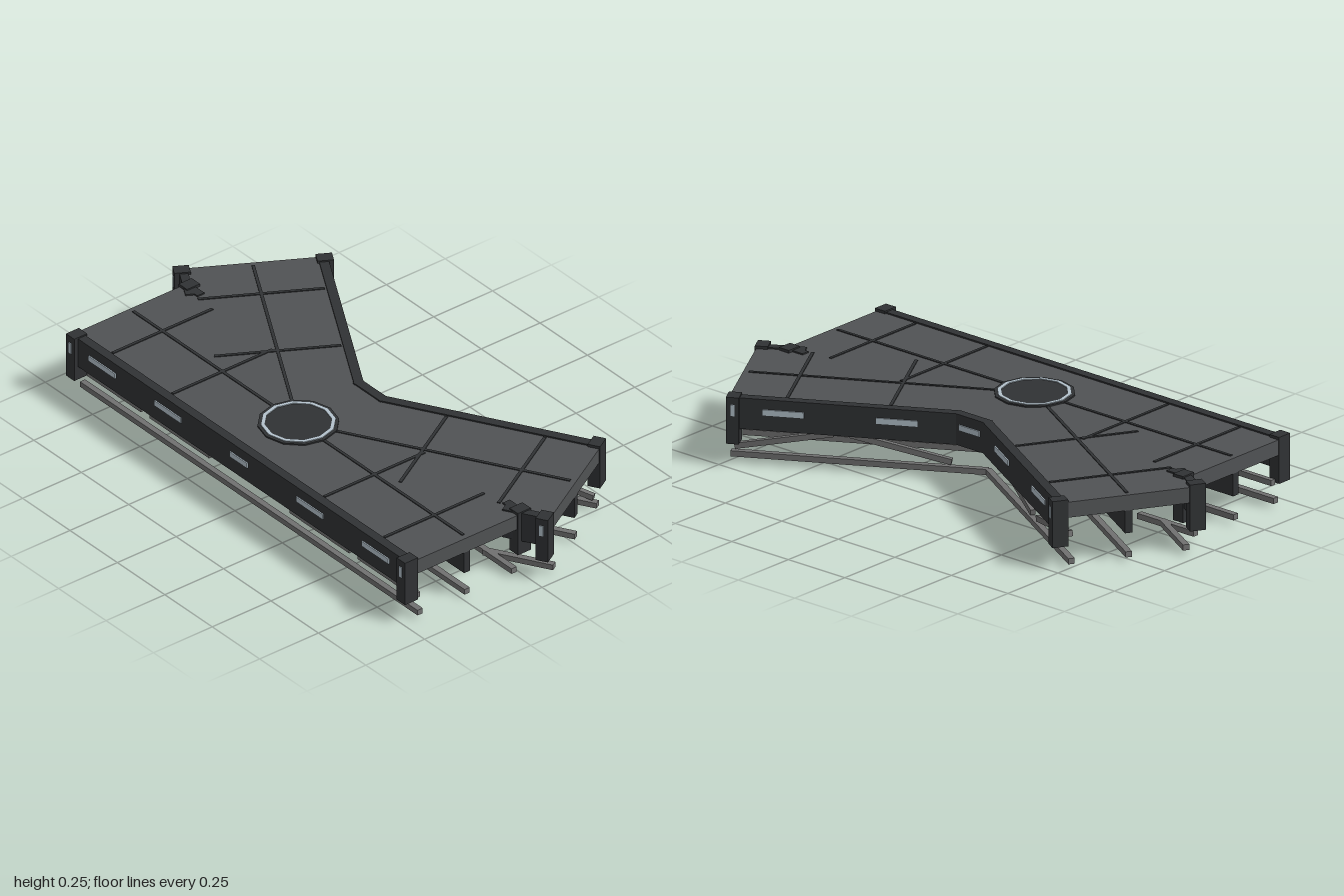
import * as THREE from 'three';

const mat = (color) => new THREE.MeshStandardMaterial({ color, flatShading: true });
const deckMat = mat(0x505254);
const darkMat = mat(0x303234);
const steelMat = mat(0x707070);
const lightMat = mat(0xb4c2cc);

const HUB_X = -0.23;
const SLANT = Math.PI / 6;

function add(parent, name, geometry, material, x, y, z) {
  const mesh = new THREE.Mesh(geometry, material);
  mesh.name = name;
  mesh.position.set(x, y, z);
  parent.add(mesh);
  return mesh;
}

const box = (parent, name, material, w, h, d, x, y, z) =>
  add(parent, name, new THREE.BoxGeometry(w, h, d), material, x, y, z);

// Point in plan on a slanted arm: n across, t along
function slantPoint(n, t, side) {
  const c = Math.cos(SLANT), s = Math.sin(SLANT);
  return new THREE.Vector2(HUB_X + n * c + t * s, side * (t * c - n * s));
}

// One deck plate covering the straight run and both branches
function makeDeck() {
  const half = (s) => [
    new THREE.Vector2(-0.46, s * 0.89),
    new THREE.Vector2(0, s * 0.89),
    new THREE.Vector2(0, s * 0.858),
    slantPoint(-0.23, 0.985, s),
    slantPoint(0.23, 0.985, s),
    new THREE.Vector2(0.076, s * 0.07),
  ];
  const shape = new THREE.Shape([...half(1), ...half(-1).reverse()]);
  const geometry = new THREE.ExtrudeGeometry(shape, { depth: 0.055, bevelEnabled: false });
  return geometry.rotateX(Math.PI / 2);
}

// An arm reaches from the hub along local z * side; local x runs across it
function makeArm(side, slanted) {
  const arm = new THREE.Group();
  arm.name = slanted ? 'branchArm' : 'straightArm';
  arm.position.x = HUB_X;
  arm.rotation.y = slanted ? SLANT * side : 0;
  const end = slanted ? 0.985 : 0.89;
  const outer = slanted ? 1 : -1; // side that carries the long wall

  // Bar between two distances along the arm
  const run = (name, material, w, h, x, y, t0, t1) =>
    box(arm, name, material, w, h, t1 - t0, x, y, side * (t0 + t1) / 2);

  // Deck seams
  run('deckSeam', darkMat, 0.011, 0.006, 0, 0.235, 0.13, end - 0.02);
  for (const f of [0.45, 0.805]) {
    box(arm, 'deckSeam', darkMat, 0.425, 0.006, 0.011, 0, 0.235, side * f * end);
  }

  // Long wall with lamps, and the short wall opposite
  run('sideWall', darkMat, 0.033, 0.11, outer * 0.235, 0.185, slanted ? 0.2 : 0, end - 0.005);
  run('shortWall', darkMat, 0.03, 0.11, -outer * 0.235, 0.185, end - 0.165 + (slanted ? 0 : 0.08), end - 0.005);
  for (const f of [0.42, 0.81]) {
    const t = f * end;
    run('wallLamp', lightMat, 0.012, 0.02, outer * 0.25, 0.195, t - 0.07, t + 0.07);
  }

  // End posts with lamp strips
  for (const x of [-0.24, 0.24]) {
    run('endPost', darkMat, 0.055, 0.165, x, 0.1625, end - 0.04, end + 0.004);
    run('postLamp', lightMat, 0.006, 0.04, x + Math.sign(x) * 0.027, 0.2, end - 0.026, end - 0.012);
  }

  // Girder and lower rails
  run('girder', darkMat, 0.026, 0.08, 0, 0.14, 0.02, end);
  run('lowerRail', steelMat, 0.022, 0.02, 0, 0.024, 0.03, end);
  run('lowerRail', steelMat, 0.022, 0.02, outer * 0.2, 0.024, slanted ? 0.115 : 0, end);
  run('shortRail', steelMat, 0.022, 0.02, -outer * 0.2, 0.024, end - 0.25, end);

  // Braces, tilted under the branches and level under the straight run
  [[0.235, 0.585], [0.635, 0.975]].forEach(([t0, t1], i) => {
    const k = slanted ? 1 : 0.9;
    const brace = run('brace', steelMat, 0.018, 0.02, outer * 0.2, 0.084, t0 * k, t1 * k);
    if (slanted) brace.rotation.x = i === 0 ? -0.2 : 0.2;
  });
  return arm;
}

export function createModel() {
  const model = new THREE.Group();
  model.name = 'deckJunction';

  add(model, 'deck', makeDeck(), deckMat, 0, 0.235, 0);
  for (const side of [1, -1]) {
    model.add(makeArm(side, false), makeArm(side, true));
  }

  // Wall panel where the two branches meet
  box(model, 'innerPanel', darkMat, 0.033, 0.11, 0.145, 0.078, 0.185, 0);
  box(model, 'innerLamp', lightMat, 0.012, 0.02, 0.09, 0.093, 0.195, 0);
  box(model, 'outerLamp', lightMat, 0.012, 0.02, 0.09, HUB_X - 0.25, 0.195, 0);

  // Round hub plate with a pale ring
  const cyl = (name, material, r, h, sides, y) =>
    add(model, name, new THREE.CylinderGeometry(r, r, h, sides), material, HUB_X, y, 0);
  cyl('hubPlate', darkMat, 0.137, 0.014, 12, 0.233);
  const ring = new THREE.Shape().setFromPoints(new THREE.CylinderGeometry(1, 1, 1, 12) &&
    Array.from({ length: 12 }, (_, i) => new THREE.Vector2(0.126, 0).rotateAround(new THREE.Vector2(), i * Math.PI / 6)));
  ring.holes.push(new THREE.Path(
    Array.from({ length: 12 }, (_, i) => new THREE.Vector2(0.112, 0).rotateAround(new THREE.Vector2(), i * Math.PI / 6))));
  const ringGeometry = new THREE.ExtrudeGeometry(ring, { depth: 0.008, bevelEnabled: false });
  add(model, 'hubRing', ringGeometry.rotateX(Math.PI / 2), lightMat, HUB_X, 0.243, 0);

  // Support column and foot
  cyl('column', steelMat, 0.048, 0.15, 6, 0.11);
  cyl('foot', darkMat, 0.078, 0.04, 6, 0.02);
  return model;
}
